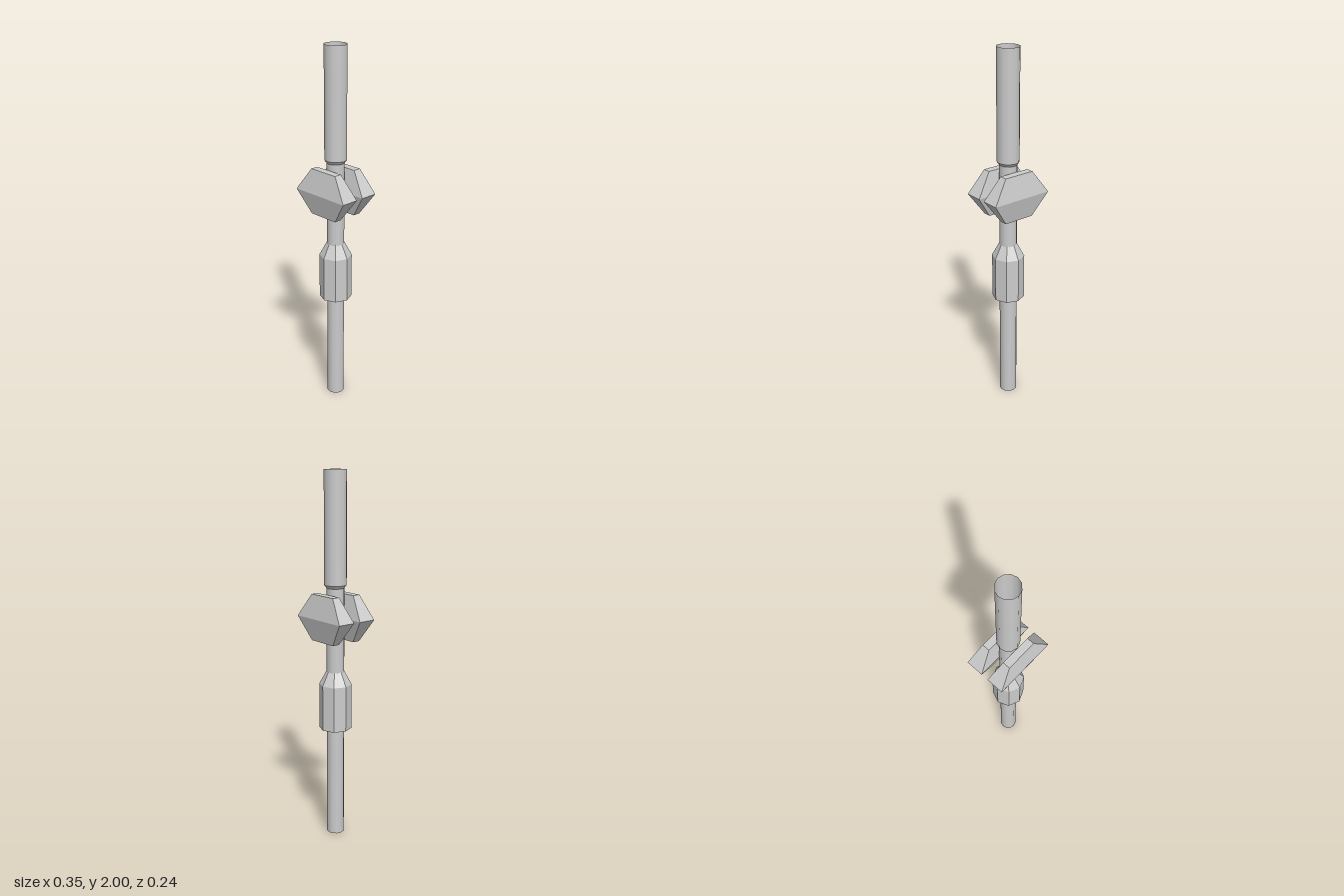
import * as THREE from 'three';

const smooth = new THREE.MeshStandardMaterial({ color: 0xcccccc, side: THREE.DoubleSide });
const faceted = new THREE.MeshStandardMaterial({ color: 0xcccccc, flatShading: true });

// Upright cylinder or cone section between two heights
function section(name, y0, y1, rBottom, rTop, sides, open, material) {
  const geometry = new THREE.CylinderGeometry(rTop, rBottom, y1 - y0, sides, 1, open);
  const mesh = new THREE.Mesh(geometry, material);
  mesh.name = name;
  mesh.position.y = (y0 + y1) / 2;
  return mesh;
}

// Hexagonal flange: a box whose middle ring is wider and thicker than its ends
function flange(name, z) {
  const geometry = new THREE.BoxGeometry(2, 0.25, 2, 1, 2, 1);
  const p = geometry.attributes.position;
  for (let i = 0; i < p.count; i++) {
    const middle = Math.abs(p.getY(i)) < 0.01;
    p.setX(i, p.getX(i) * (middle ? 0.175 : 0.088));
    p.setZ(i, p.getZ(i) * (middle ? 0.049 : 0.021));
  }
  geometry.computeVertexNormals();
  const mesh = new THREE.Mesh(geometry, faceted);
  mesh.name = name;
  mesh.position.set(0, 1.236, z);
  return mesh;
}

export function createModel() {
  const model = new THREE.Group();
  model.name = 'staffHandle';

  // Hollow shaft with a plug near its upper end
  model.add(section('shaft', 0, 1.395, 0.048, 0.048, 12, true, smooth));
  const plug = section('shaftPlug', 1.38, 1.394, 0.048, 0.048, 6, false, faceted);
  plug.rotation.y = Math.PI / 6;
  model.add(plug);

  // Open upper tube and its tapered foot
  model.add(section('upperTube', 1.412, 2, 0.06, 0.06, 12, true, smooth));
  model.add(section('upperTubeTaper', 1.395, 1.412, 0.048, 0.06, 12, true, smooth));

  // Eight-sided collar with a tapered shoulder
  model.add(section('collar', 0.62, 0.87, 0.088, 0.088, 8, false, faceted));
  model.add(section('collarShoulder', 0.87, 0.945, 0.088, 0.048, 8, false, faceted));

  // Mirrored flanges in front of and behind the shaft
  model.add(flange('frontFlange', 0.069), flange('backFlange', -0.069));
  return model;
}
